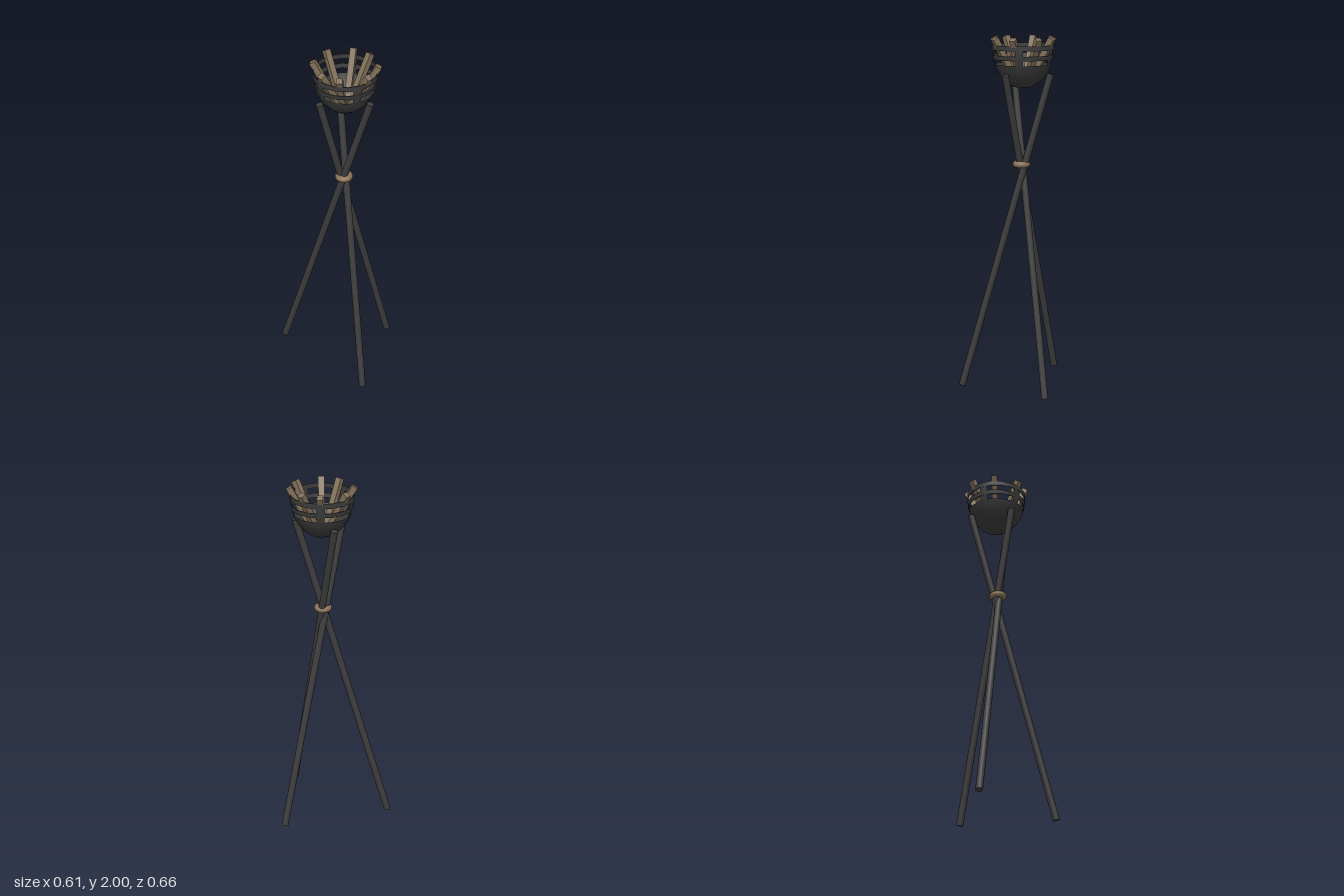
import * as THREE from 'three';
import { toCreasedNormals } from 'three/addons/utils/BufferGeometryUtils.js';

const SIDES = 16;
const RAD = Math.PI / 180;

// Radius of the basket at height y: the lower part of a tall ellipsoid
const basketRadius = (y) => 0.174 * Math.sqrt(Math.max(0, 1 - ((1.94 - y) / 0.23) ** 2));

export function createModel() {
  const iron = new THREE.MeshStandardMaterial({ color: 0x3c3c3c });
  iron.name = 'iron';
  const ironSheet = new THREE.MeshStandardMaterial({ color: 0x3c3c3c, side: THREE.DoubleSide });
  ironSheet.name = 'iron sheet';
  const wood = new THREE.MeshStandardMaterial({ color: 0x82715a });
  wood.name = 'wood';
  const rope = new THREE.MeshStandardMaterial({ color: 0x8a7357 });
  rope.name = 'rope';

  const model = new THREE.Group();
  model.name = 'tripodBrazier';
  const add = (parent, name, geometry, material) => {
    const mesh = new THREE.Mesh(geometry, material);
    mesh.name = name;
    parent.add(mesh);
    return mesh;
  };

  // Places a mesh built along y so that it runs from a to b
  const up = new THREE.Vector3(0, 1, 0);
  const span = (mesh, a, b) => {
    mesh.position.copy(a).add(b).multiplyScalar(0.5);
    mesh.quaternion.setFromUnitVectors(up, b.clone().sub(a).normalize());
  };

  // Three crossing legs: foot x, z and top x, z
  const legs = [
    [0.289, -0.067, -0.169, -0.027],
    [-0.287, -0.313, 0.069, 0.094],
    [-0.087, 0.311, 0.024, -0.18],
  ];
  legs.forEach(([fx, fz, tx, tz]) => {
    const a = new THREE.Vector3(fx, 0.004, fz);
    const b = new THREE.Vector3(tx, 1.79, tz);
    const geometry = new THREE.CylinderGeometry(0.0195, 0.0195, a.distanceTo(b), 12);
    span(add(model, 'leg', geometry, iron), a, b);
  });

  // Rope binding where the legs cross
  const binding = add(model, 'binding', new THREE.TorusGeometry(0.032, 0.018, 10, 20), rope);
  binding.rotation.x = Math.PI / 2;
  binding.position.set(-0.026, 1.285, -0.027);

  // Fire basket
  const basket = new THREE.Group();
  basket.name = 'basket';
  basket.position.set(-0.014, 0, -0.031);
  model.add(basket);

  // Solid bowl with a flat bottom
  const profile = [new THREE.Vector2(0, 1.72)];
  for (const y of [1.72, 1.734, 1.755, 1.785, 1.815, 1.845]) {
    profile.push(new THREE.Vector2(basketRadius(y), y));
  }
  add(basket, 'bowl', new THREE.LatheGeometry(profile, SIDES), ironSheet);

  // Two hoops above the bowl
  [[1.872, 1.897], [1.925, 1.952]].forEach(([low, high]) => {
    const corner = (y, inset) => new THREE.Vector2(basketRadius(y) - inset, y);
    const section = [corner(low, 0.005), corner(low, 0), corner(high, 0), corner(high, 0.005), corner(low, 0.005)];
    const geometry = toCreasedNormals(new THREE.LatheGeometry(section, SIDES), 0.6);
    add(basket, 'hoop', geometry, ironSheet);
  });

  // Upright straps joining the hoops to the bowl
  const strap = [1.835, 1.87, 1.91, 1.95].map((y) => new THREE.Vector2(basketRadius(y) - 0.003, y));
  for (let i = 0; i < 5; i++) {
    const middle = (90 - (24 + 72 * i)) * RAD;
    add(basket, 'strap', new THREE.LatheGeometry(strap, 2, middle - 0.13, 0.26), ironSheet);
  }

  // Square logs leaning outwards: direction in degrees and reach of the upper end
  const logs = [
    [-96, 0.18], [-47, 0.175], [-12, 0.172], [35, 0.175],
    [76, 0.178], [128, 0.172], [164, 0.17], [217, 0.172],
  ];
  logs.forEach(([angle, reach]) => {
    const pivot = new THREE.Group();
    pivot.name = 'log';
    pivot.rotation.y = -angle * RAD;
    basket.add(pivot);
    const a = new THREE.Vector3(0.044, 1.746, 0);
    const b = new THREE.Vector3(reach, 1.988, 0);
    const geometry = new THREE.BoxGeometry(0.033, a.distanceTo(b), 0.033);
    span(add(pivot, 'logBeam', geometry, wood), a, b);
  });

  return model;
}
